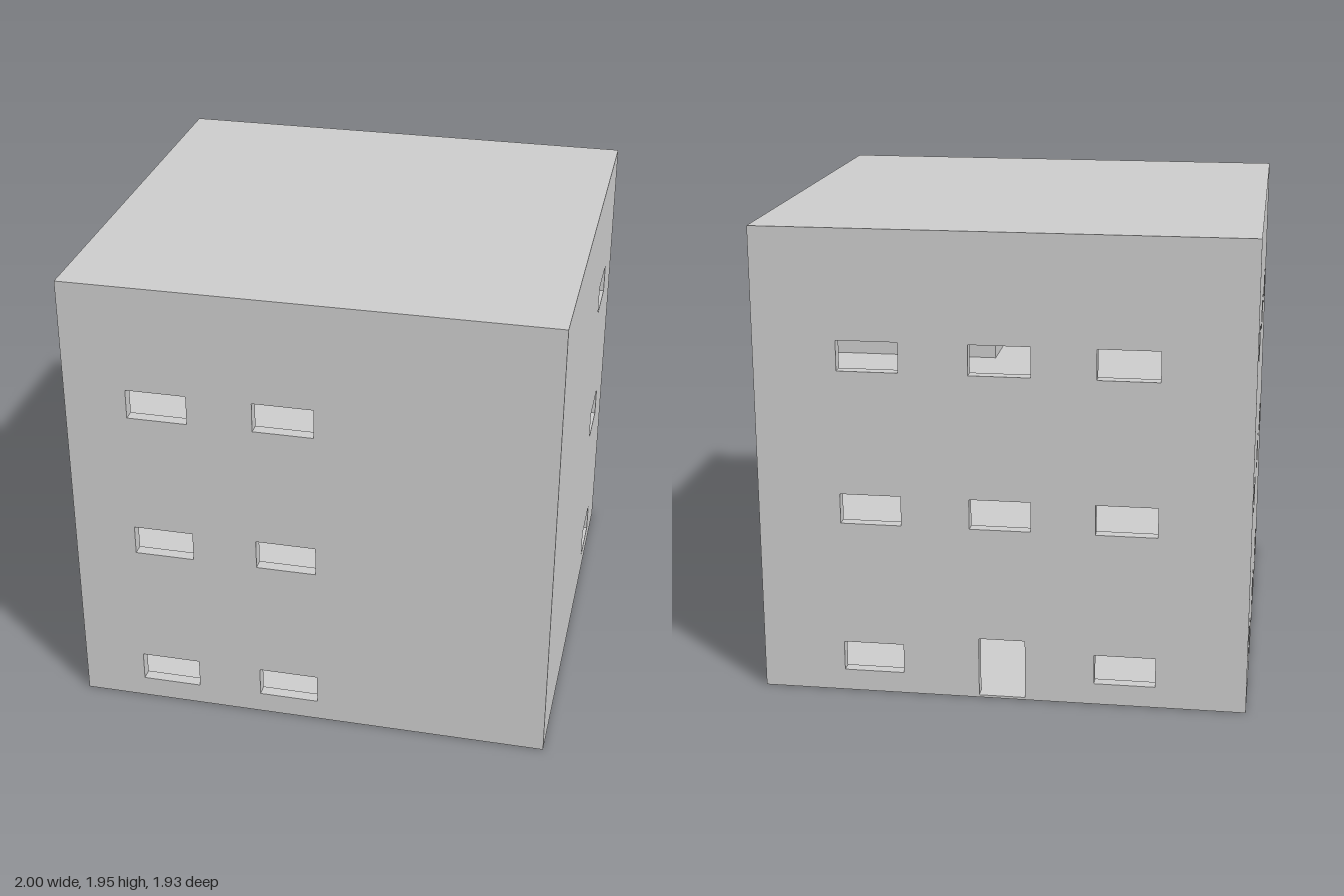
import * as THREE from 'three';

const W = 1, D = 0.963, H = 1.95, T = 0.05;   // half width, half depth, height, wall thickness
const SILLS = [0.09, 0.735, 1.375];           // window sill heights, one per storey
const WIN_W = 0.25, WIN_H = 0.125;

export function createModel() {
  const group = new THREE.Group();
  const material = new THREE.MeshStandardMaterial({ color: 0xcccccc, flatShading: true });

  const add = (name, geometry) => {
    const mesh = new THREE.Mesh(geometry, material);
    mesh.name = name;
    group.add(mesh);
    return mesh;
  };

  const rect = (path, x0, y0, x1, y1) => {
    path.moveTo(x0, y0);
    path.lineTo(x1, y0);
    path.lineTo(x1, y1);
    path.lineTo(x0, y1);
    path.closePath();
    return path;
  };

  // Wall slab in the XY plane with a list of openings [x0, y0, x1, y1]
  const wall = (name, half, openings) => {
    const shape = rect(new THREE.Shape(), -half, 0, half, H);
    for (const o of openings) shape.holes.push(rect(new THREE.Path(), ...o));
    return add(name, new THREE.ExtrudeGeometry(shape, { depth: T, bevelEnabled: false }));
  };

  // Window openings for columns starting at the given positions, on every storey
  const windows = (columns) => columns.flatMap((x) =>
    SILLS.map((y) => [x, y, x + WIN_W, y + WIN_H]));

  const box = (name, x0, y0, z0, x1, y1, z1) =>
    add(name, new THREE.BoxGeometry(x1 - x0, y1 - y0, z1 - z0))
      .position.set((x0 + x1) / 2, (y0 + y1) / 2, (z0 + z1) / 2);

  // Front wall: two window columns
  wall('frontWall', W, windows([-0.74, -0.22])).position.z = D - T;

  // Back wall: three window columns, with a door below the middle one
  const back = windows([-0.63, -0.12, 0.41]).filter((o) => !(o[0] === -0.12 && o[1] === SILLS[0]));
  wall('backWall', W, [...back, [-0.095, 0.01, 0.095, 0.26]]).position.z = -D;

  // Side walls, turned so the shape's x runs along z
  const left = wall('leftWall', D - T, windows([-0.67]));
  left.rotation.y = -Math.PI / 2;
  left.position.x = W;
  const right = wall('rightWall', D - T, windows([-0.67, -0.09, 0.47]));
  right.rotation.y = -Math.PI / 2;
  right.position.x = -W + T;

  // Ground slab, storey floors and roof
  const x = W - T, z = D - T;
  box('groundFloor', -x, 0, -z, x, 0.01, z);
  box('secondFloor', -x, 0.6, -z, x, 0.645, z);
  box('thirdFloor', -x, 1.24, -z, x, 1.285, z);
  box('roof', -x, H - T, -z, x, H, z);

  // Inner partitions closing off the windowless corner
  box('partitionAcross', 0.12, 0.01, -0.33, x, H - T, -0.28);
  box('partitionAlong', 0.12, 0.01, -0.28, 0.17, H - T, z);

  return group;
}
